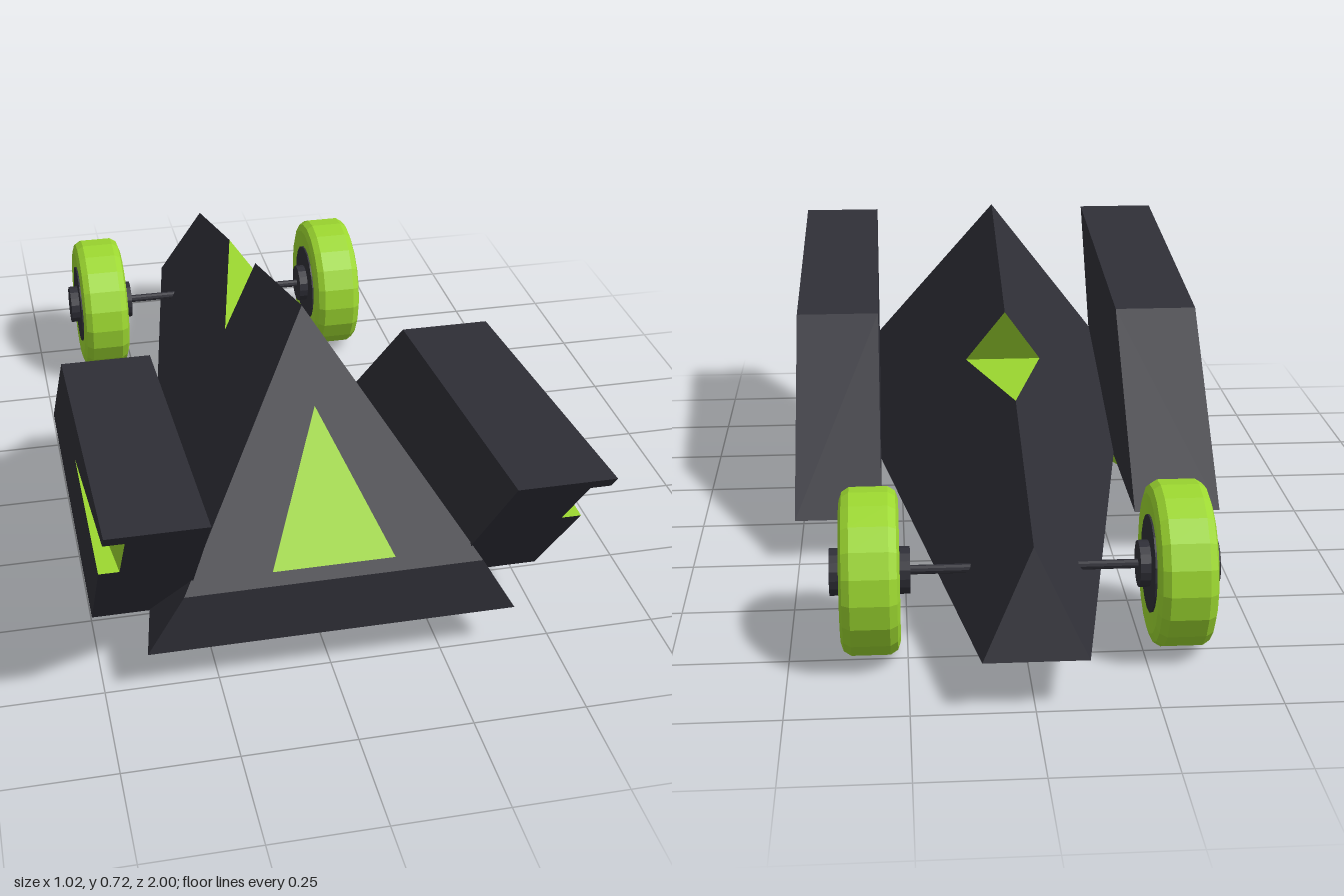
import * as THREE from 'three';

const dark = new THREE.MeshStandardMaterial({ color: 0x2f2f37 });
dark.name = 'charcoal';
const green = new THREE.MeshStandardMaterial({ color: 0x9cd730 });
green.name = 'lime';
dark.flatShading = green.flatShading = true;

// Flat faces from [outward direction, corners]; each is a fan from its first corner.
function facets(faces) {
  const out = [];
  const a = new THREE.Vector3(), b = new THREE.Vector3(), n = new THREE.Vector3();
  for (const [dir, pts] of faces) {
    n.set(0, 0, 0);
    const p = pts.map((q) => new THREE.Vector3(...q));
    for (let i = 1; i < p.length - 1; i++) {
      n.add(a.subVectors(p[i], p[0]).cross(b.subVectors(p[i + 1], p[0])));
    }
    const flip = n.dot(new THREE.Vector3(...dir)) < 0;
    for (let i = 1; i < p.length - 1; i++) {
      const tri = flip ? [p[0], p[i + 1], p[i]] : [p[0], p[i], p[i + 1]];
      tri.forEach((v) => out.push(v.x, v.y, v.z));
    }
  }
  const geo = new THREE.BufferGeometry();
  geo.setAttribute('position', new THREE.Float32BufferAttribute(out, 3));
  geo.computeVertexNormals();
  return geo;
}

function add(parent, name, geo, mat) {
  const mesh = new THREE.Mesh(geo, mat);
  mesh.name = name;
  parent.add(mesh);
  return mesh;
}

const mir = ([x, y, z]) => [-x, y, z];

// Wedge body with a notch behind the canopy
function makeBody() {
  const g = new THREE.Group();
  g.name = 'body';
  const nose = [0.407, 0.11, 0.776], brow = [0.326, 0.25, 0.776], peak = [0, 0.72, 0.42];
  const lip = [0, 0.568, -0.09], cut = [0.09, 0.43, -0.02], spine = [0, 0.463, -0.44];
  const tail = [0, 0.32, -0.92], heel = [0.107, 0.11, -1];
  const side = [cut, spine, tail, heel, nose, brow, peak, lip];
  add(g, 'hull', facets([
    [[1, 0.5, 0], side],
    [[-1, 0.5, 0], side.map(mir)],
    [[0, 0, 1], [nose, brow, mir(brow), mir(nose)]],
    [[0, 1, 1], [brow, peak, mir(brow)]],
    [[0, 0, -1], [heel, tail, mir(heel)]],
    [[0, -1, 0], [nose, heel, mir(heel), mir(nose)]],
  ]), dark);
  add(g, 'notch', facets([
    [[0, 1, 0], [spine, cut, mir(cut)]],
    [[0, 0, -1], [lip, cut, mir(cut)]],
  ]), green);
  // Thin triangle on the sloping front
  const onSlope = (x, y) => [x, y + 0.002, 0.776 - (y - 0.25) * 0.7574 + 0.003];
  add(g, 'windscreen', facets([
    [[0, 1, 1], [onSlope(0, 0.545), onSlope(0.134, 0.274), onSlope(-0.134, 0.274)]],
  ]), green);
  return g;
}

// Slanted side pod with a tapering intake in its outer front corner
function makePod(s) {
  const g = new THREE.Group();
  g.name = s > 0 ? 'leftPod' : 'rightPod';
  const inner = 0.303, outer = 0.508, wall = 0.465;
  const front = (x, y) => [s * x, y, 0.62 + (y - 0.105) * 0.7917];
  const at = (x, y, z) => [s * x, y, z];
  const lo = 0.105, hi = 0.585, a = 0.55, b = 0.39;
  const tip = at(outer, b, 0.42);
  const top = (x) => at(x, 0.495, 0.18), back = (x) => at(x, lo, -0.235);
  const strip = (x, y0, y1) => [front(inner, y0), front(x, y0), front(x, y1), front(inner, y1)];
  add(g, 'podShell', facets([
    [[s, 0, 0], [tip, front(outer, a), front(outer, hi), top(outer), back(outer), front(outer, lo), front(outer, b)]],
    [[-s, 0, 0], [front(inner, hi), top(inner), back(inner), front(inner, lo)]],
    [[0, 1, 0], [front(inner, hi), front(outer, hi), top(outer), top(inner)]],
    [[0, 1, -1], [top(inner), top(outer), back(outer), back(inner)]],
    [[0, -1, 0], [back(inner), back(outer), front(outer, lo), front(inner, lo)]],
    [[0, -1, 1], strip(outer, a, hi)],
    [[0, -1, 1], strip(wall, b, a)],
    [[0, -1, 1], strip(outer, lo, b)],
  ]), dark);
  add(g, 'podIntake', facets([
    [[0, 1, 0], [front(outer, b), front(wall, b), tip]],
    [[0, -1, 0], [front(outer, a), front(wall, a), tip]],
    [[s, 0, 0], [front(wall, a), front(wall, b), tip]],
  ]), green);
  return g;
}

// Tyre, disc and hub lying along x
function makeWheel(name, width, hubLength) {
  const g = new THREE.Group();
  g.name = name;
  const h = width / 2;
  const half = [[0.104, h - 0.004], [0.15, h], [0.168, h - 0.006], [0.178, h - 0.022]];
  const profile = [...half.map(([r, y]) => [r, -y]), ...half.reverse()];
  const tyre = new THREE.LatheGeometry(profile.map(([r, y]) => new THREE.Vector2(r, y)), 20);
  add(g, 'tyre', tyre.rotateZ(Math.PI / 2), green);
  add(g, 'rim', new THREE.CylinderGeometry(0.105, 0.105, width, 20).rotateZ(Math.PI / 2), dark);
  add(g, 'hub', new THREE.CylinderGeometry(0.05, 0.05, hubLength, 16).rotateZ(Math.PI / 2), dark);
  return g;
}

export function createModel() {
  const model = new THREE.Group();
  model.name = 'wedgeCar';
  model.add(makeBody());
  for (const s of [1, -1]) {
    const sideName = s > 0 ? 'Left' : 'Right';
    model.add(makePod(s));
    const frontWheel = makeWheel('front' + sideName + 'Wheel', 0.178, 0.19);
    frontWheel.position.set(s * 0.403, 0.178, 0.4);
    const rearWheel = makeWheel('rear' + sideName + 'Wheel', 0.125, 0.17);
    rearWheel.position.set(s * 0.327, 0.178, -0.695);
    model.add(frontWheel, rearWheel);
  }
  // Axles
  for (const [name, z] of [['frontAxle', 0.4], ['rearAxle', -0.695]]) {
    const axle = add(model, name, new THREE.CylinderGeometry(0.01, 0.01, 0.56, 10).rotateZ(Math.PI / 2), dark);
    axle.position.set(0, 0.178, z);
  }
  return model;
}
